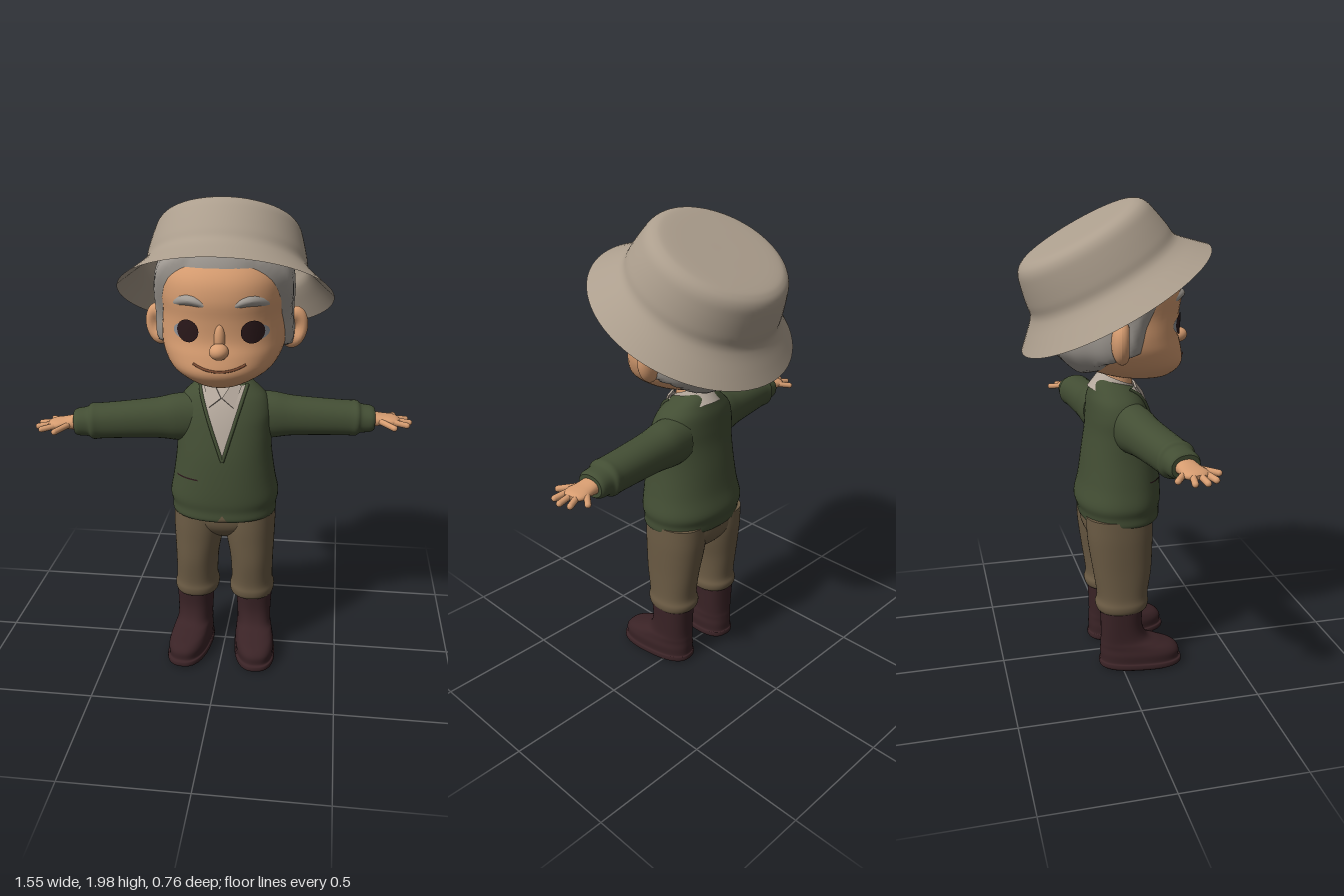
import * as THREE from 'three';

const mat = (name, color, side = THREE.FrontSide) => {
  const m = new THREE.MeshStandardMaterial({ color, side });
  m.name = name;
  return m;
};
const M = {
  skin: mat('skin', 0xd69c70),
  hair: mat('grey hair', 0xa19b94),
  hat: mat('hat canvas', 0xac9e8d, THREE.DoubleSide),
  wool: mat('green wool', 0x434e34),
  shirt: mat('shirt cotton', 0xb5a99d, THREE.DoubleSide),
  pants: mat('brown trousers', 0x6b5b44),
  boots: mat('boot leather', 0x3a2326),
  eye: mat('dark eye', 0x2a181a),
  white: mat('eye corner', 0x8f9196),
  lip: mat('mouth line', 0x7d4c33),
};

function add(parent, name, geometry, material) {
  const mesh = new THREE.Mesh(geometry, material);
  mesh.name = name;
  parent.add(mesh);
  return mesh;
}

// Smoothly resample cross-section rows: [y, halfWidth, zFront, zBack, xCentre]
function smooth(rows, steps = 5) {
  const out = [], at = i => rows[Math.min(Math.max(i, 0), rows.length - 1)];
  for (let i = 0; i < rows.length - 1; i++)
    for (let k = 0; k < steps + (i === rows.length - 2 ? 1 : 0); k++) {
      const t = k / steps;
      out.push([0, 1, 2, 3, 4].map(c => {
        const [a, b, d, e] = [i - 1, i, i + 1, i + 2].map(n => at(n)[c] ?? 0);
        const m0 = (d - a) / 2, m1 = (e - b) / 2;
        return (2 * t ** 3 - 3 * t ** 2 + 1) * b + (t ** 3 - 2 * t ** 2 + t) * m0
          + (3 * t ** 2 - 2 * t ** 3) * d + (t ** 3 - t ** 2) * m1;
      }));
    }
  return out;
}

// Skin rounded cross-sections, closed at both ends; bend may move each point
function loft(rows, { n = 48, e = 2.2, bend } = {}) {
  const flat = r => [r[0], 0, (r[2] + r[3]) / 2, (r[2] + r[3]) / 2, r[4]];
  const first = rows[0], last = rows[rows.length - 1];
  const all = [flat(first), first, ...rows, last, flat(last)];
  const pos = [], idx = [], p = new THREE.Vector3();
  const pw = v => Math.sign(v) * Math.abs(v) ** (2 / e);
  all.forEach(([y, rx, zf, zb, cx], i) => {
    for (let j = 0; j < n; j++) {
      const a = j / n * Math.PI * 2;
      p.set(cx + rx * pw(Math.cos(a)), y, (zf + zb) / 2 + (zf - zb) / 2 * pw(Math.sin(a)));
      if (bend) bend(p);
      pos.push(p.x, p.y, p.z);
      if (i === all.length - 1) continue;
      const A = i * n + j, B = i * n + (j + 1) % n;
      idx.push(A, A + n, B, A + n, B + n, B);
    }
  });
  const g = new THREE.BufferGeometry();
  g.setAttribute('position', new THREE.Float32BufferAttribute(pos, 3));
  g.setIndex(idx);
  g.computeVertexNormals();
  return g;
}

// Front surface depth of a lofted body at (x, y)
function frontZ(rows, x, y, e = 2.2) {
  let i = 0;
  while (i < rows.length - 2 && rows[i + 1][0] < y) i++;
  const t = THREE.MathUtils.clamp((y - rows[i][0]) / (rows[i + 1][0] - rows[i][0]), 0, 1);
  const [, rx, zf, zb] = rows[i].map((v, c) => v + (rows[i + 1][c] - v) * t);
  const k = Math.max(0, 1 - Math.min(1, Math.abs(x) / rx) ** e) ** (1 / e);
  return (zf + zb) / 2 + (zf - zb) / 2 * k;
}

// Lay a flat geometry on a lofted body: place(v) sets x, y and the lift in z
function drape(g, rows, place) {
  const p = g.attributes.position, v = new THREE.Vector3();
  for (let i = 0; i < p.count; i++) {
    place(v.fromBufferAttribute(p, i));
    p.setXYZ(i, v.x, v.y, frontZ(rows, v.x, v.y) + v.z);
  }
  g.computeVertexNormals();
  return g;
}

function rod(a, b, r) {
  const d = b.clone().sub(a), g = new THREE.CapsuleGeometry(r, d.length(), 6, 12);
  g.applyQuaternion(new THREE.Quaternion().setFromUnitVectors(new THREE.Vector3(0, 1, 0), d.clone().normalize()));
  return g.translate(...a.clone().add(b).multiplyScalar(0.5).toArray());
}
const ball = (x, y, z, rx, ry, rz) => new THREE.SphereGeometry(1, 28, 20).scale(rx, ry, rz).translate(x, y, z);
const V = (x, y, z) => new THREE.Vector3(x, y, z);

const HEAD = smooth([
  [1.262, 0, 0.15, 0.15], [1.27, 0.075, 0.215, 0.03], [1.3, 0.15, 0.258, -0.08], [1.34, 0.205, 0.28, -0.16],
  [1.4, 0.24, 0.272, -0.22], [1.46, 0.25, 0.258, -0.24], [1.54, 0.245, 0.262, -0.25], [1.62, 0.25, 0.272, -0.25],
  [1.7, 0.24, 0.255, -0.23], [1.78, 0.19, 0.19, -0.16], [1.84, 0.1, 0.1, -0.08], [1.86, 0, 0.01, 0.01]]);

const TORSO = smooth([
  [0.667, 0.2, 0.17, -0.13], [0.68, 0.22, 0.187, -0.15], [0.715, 0.222, 0.187, -0.157], [0.76, 0.23, 0.192, -0.167],
  [0.84, 0.215, 0.19, -0.15], [0.95, 0.2, 0.18, -0.135], [1.05, 0.195, 0.16, -0.12], [1.12, 0.195, 0.14, -0.115],
  [1.18, 0.175, 0.115, -0.11], [1.22, 0.135, 0.088, -0.1], [1.25, 0.095, 0.055, -0.09], [1.27, 0.065, 0.02, -0.075]]);

// Hairline: how far back (z) the hair starts at each height
const HAIRLINE = [[1.26, -0.12], [1.37, -0.07], [1.41, 0.05], [1.5, 0.07], [1.6, 0.12], [1.7, 0.18], [1.9, 0.3]];
function growHair(p) {
  let i = 0;
  while (i < HAIRLINE.length - 2 && HAIRLINE[i + 1][0] < p.y) i++;
  const [[y0, z0], [y1, z1]] = [HAIRLINE[i], HAIRLINE[i + 1]];
  const line = z0 + (z1 - z0) * (p.y - y0) / (y1 - y0);
  const d = Math.max(p.y - 1.735, line - p.z);
  const lift = THREE.MathUtils.clamp(d * 0.7, -0.02, 0.03)
    + (d > 0.05 ? 0.002 * Math.sin(14 * Math.atan2(p.x, -p.z)) : 0);
  p.addScaledVector(V(p.x, (p.y - 1.52) * 0.6, p.z).normalize(), lift);
}

function buildHead() {
  const head = new THREE.Group();
  head.name = 'head';
  add(head, 'face', loft(HEAD), M.skin);
  add(head, 'hair', loft(HEAD, { n: 96, bend: growHair }), M.hair);
  add(head, 'neck', new THREE.CylinderGeometry(0.065, 0.075, 0.2, 32).translate(0, 1.21, 0.01), M.skin);
  add(head, 'nose', ball(0.01, 1.43, 0.275, 0.037, 0.032, 0.04), M.skin);
  add(head, 'noseBridge', ball(0.01, 1.475, 0.25, 0.022, 0.06, 0.026), M.skin);
  const smile = [-0.1, -0.085, -0.05, 0, 0.05, 0.085, 0.1].map(x => {
    const y = 1.352 + 2.6 * x * x;
    return V(x + 0.01, y, frontZ(HEAD, x + 0.01, y) + 0.001);
  });
  add(head, 'smile', new THREE.TubeGeometry(new THREE.CatmullRomCurve3(smile), 32, 0.005, 8), M.lip);

  for (const s of [1, -1]) {
    const patch = (name, cx, cy, rx, ry, lift, dome, arch, m) =>
      add(head, name, drape(new THREE.RingGeometry(0.001, 1, 32, 5), HEAD, v => {
        const r2 = v.x * v.x + v.y * v.y;
        v.set(0.01 + s * cx + rx * v.x, cy + ry * v.y - arch * v.x * v.x, lift + dome * (1 - r2));
      }), m);
    patch('eyeCorner', 0.132, 1.497, 0.052, 0.032, 0.003, 0, 0, M.white);
    patch('eye', 0.124, 1.5, 0.044, 0.044, 0.006, 0.003, 0, M.eye);
    patch('eyebrow', 0.12, 1.618, 0.064, 0.02, -0.001, 0.014, 0.018, M.hair);

    // Ear with a hollowed front
    const ear = new THREE.SphereGeometry(1, 32, 24), p = ear.attributes.position;
    for (let i = 0; i < p.count; i++)
      if (p.getZ(i) > 0) p.setZ(i, p.getZ(i) - 0.8 * p.getZ(i) * Math.exp(-4 * (p.getX(i) ** 2 + p.getY(i) ** 2)));
    ear.scale(0.058, 0.086, 0.042).rotateZ(-s * 0.15).rotateY(s * 0.25).translate(s * 0.275, 1.462, -0.03);
    ear.computeVertexNormals();
    add(head, 'ear', ear, M.skin);
  }
  return head;
}

function buildHat() {
  const profile = new THREE.SplineCurve([
    [0.432, 0], [0.39, 0.04], [0.345, 0.085], [0.325, 0.116], [0.318, 0.16], [0.302, 0.23], [0.287, 0.275],
    [0.262, 0.3], [0.22, 0.31], [0.1, 0.312], [0, 0.312]].map(a => new THREE.Vector2(...a))).getPoints(48);
  profile[48].x = 0;
  const hat = add(new THREE.Group(), 'bucketHat', new THREE.LatheGeometry(profile, 72), M.hat);
  hat.position.set(0.002, 1.59, 0.005);
  hat.rotation.x = -0.51;
  return hat;
}

function buildTop() {
  const top = new THREE.Group();
  top.name = 'clothedTorso';
  add(top, 'cardigan', loft(TORSO), M.wool);
  // Shirt front inside the neckline
  add(top, 'shirtFront', drape(new THREE.PlaneGeometry(1, 1, 12, 20), TORSO, v => {
    const t = v.y + 0.5;
    v.set(v.x * 0.19 * t + 0.01 * (1 - t), 0.95 + 0.285 * t, 0.005);
  }), M.shirt);
  const collar = new THREE.CylinderGeometry(0.078, 0.1, 0.075, 40, 1, true).rotateX(0.38).translate(0, 1.232, -0.002);
  add(top, 'collar', collar, M.shirt);
  for (const s of [1, -1]) {
    const edge = [];
    for (let t = 0; t <= 1.001; t += 0.1) {
      const x = s * 0.097 * t + 0.01 * (1 - t), y = 0.945 + 0.29 * t;
      edge.push(V(x, y, frontZ(TORSO, x, y) + 0.002));
    }
    add(top, 'necklineEdge', new THREE.TubeGeometry(new THREE.CatmullRomCurve3(edge), 30, 0.008, 8), M.wool);
    const flap = new THREE.Shape([[0, 0], [0.045, -0.045], [0.085, 0.045], [0.055, 0.07]]
      .map(([x, y]) => new THREE.Vector2(s * x, y)));
    add(top, 'collarFlap', new THREE.ExtrudeGeometry(flap, { depth: 0.008, bevelEnabled: false })
      .rotateX(-0.5).rotateY(s * 0.3).translate(0, 1.195, 0.118), M.shirt);
  }
  // Hem notch and pocket slit
  add(top, 'hemNotch', drape(new THREE.PlaneGeometry(1, 1, 2, 4), TORSO, v =>
    v.set(0.01 + v.x * 0.05 * (0.5 - v.y), 0.69 + v.y * 0.035, 0.003)), M.pants);
  add(top, 'pocketSlit', drape(new THREE.PlaneGeometry(0.095, 0.006, 8, 1), TORSO, v =>
    v.set(v.x - 0.14, v.y + 0.857, 0.003)), M.eye);
  return top;
}

// Arm is modelled pointing up, then swung out to its side
function buildArm(s) {
  const arm = new THREE.Group();
  arm.name = s > 0 ? 'leftArm' : 'rightArm';
  const rows = list => smooth(list.map(([y, thick, wide]) => [y, thick, wide, -wide]));
  add(arm, 'sleeve', loft(rows([[0, 0.1, 0.085], [0.08, 0.097, 0.085], [0.16, 0.084, 0.08], [0.3, 0.076, 0.076],
    [0.39, 0.073, 0.075], [0.425, 0.073, 0.078], [0.445, 0.06, 0.068], [0.485, 0.054, 0.066], [0.5, 0.045, 0.058]]),
    { n: 32 }), M.wool);
  add(arm, 'palm', loft(rows([[0.48, 0.034, 0.042], [0.53, 0.024, 0.046], [0.565, 0.02, 0.052], [0.59, 0.016, 0.045],
    [0.605, 0.008, 0.025]]), { n: 24 }), M.skin);
  const fingers = [[0.52, 0.03, 0.575, 0.092], [0.57, 0.035, 0.632, 0.05], [0.58, 0.01, 0.648, 0.008],
    [0.575, -0.015, 0.638, -0.037], [0.55, -0.033, 0.592, -0.08]];
  for (const [y0, z0, y1, z1] of fingers)
    add(arm, 'finger', rod(V(0, y0, z0), V(s * 0.008, y1, z1), 0.0125), M.skin);
  arm.position.set(s * 0.12, 1.09, s > 0 ? -0.02 : 0.035);
  arm.rotation.set(0, s > 0 ? 0.09 : 0.18, -s * (Math.PI / 2 + 0.035), 'YZX');
  return arm;
}

function buildLeg(s) {
  const leg = new THREE.Group();
  leg.name = s > 0 ? 'leftLeg' : 'rightLeg';
  add(leg, 'trouserLeg', loft(smooth([[0.268, 0.075, 0.095, -0.085], [0.278, 0.092, 0.115, -0.1],
    [0.305, 0.097, 0.122, -0.107], [0.345, 0.09, 0.12, -0.1], [0.45, 0.093, 0.135, -0.115],
    [0.55, 0.104, 0.14, -0.13], [0.62, 0.109, 0.142, -0.138], [0.7, 0.108, 0.14, -0.14]]
    .map((r, i) => [...r, s * [0.122, 0.122, 0.122, 0.122, 0.12, 0.113, 0.11, 0.11][i]]))), M.pants);
  const boot = add(leg, 'boot', loft(smooth([[0, 0.076, 0.25, -0.08], [0.012, 0.088, 0.268, -0.092],
    [0.03, 0.088, 0.268, -0.092], [0.037, 0.082, 0.258, -0.087], [0.07, 0.084, 0.257, -0.088],
    [0.095, 0.08, 0.232, -0.087], [0.115, 0.077, 0.175, -0.086], [0.14, 0.073, 0.118, -0.084],
    [0.2, 0.075, 0.094, -0.085], [0.285, 0.08, 0.097, -0.088]]), { e: 2.5 }), M.boots);
  boot.position.x = s * 0.13;
  boot.rotation.y = s * 0.13;
  return leg;
}

export function createModel() {
  const model = new THREE.Group();
  model.name = 'elderlyManInHat';
  model.add(buildHead(), buildHat(), buildTop());
  add(model, 'trouserSeat', loft(smooth([[0.55, 0.05, 0.06, -0.07], [0.59, 0.15, 0.115, -0.115],
    [0.64, 0.21, 0.14, -0.14], [0.72, 0.21, 0.14, -0.14]])), M.pants);
  for (const s of [1, -1]) model.add(buildArm(s), buildLeg(s));
  return model;
}
